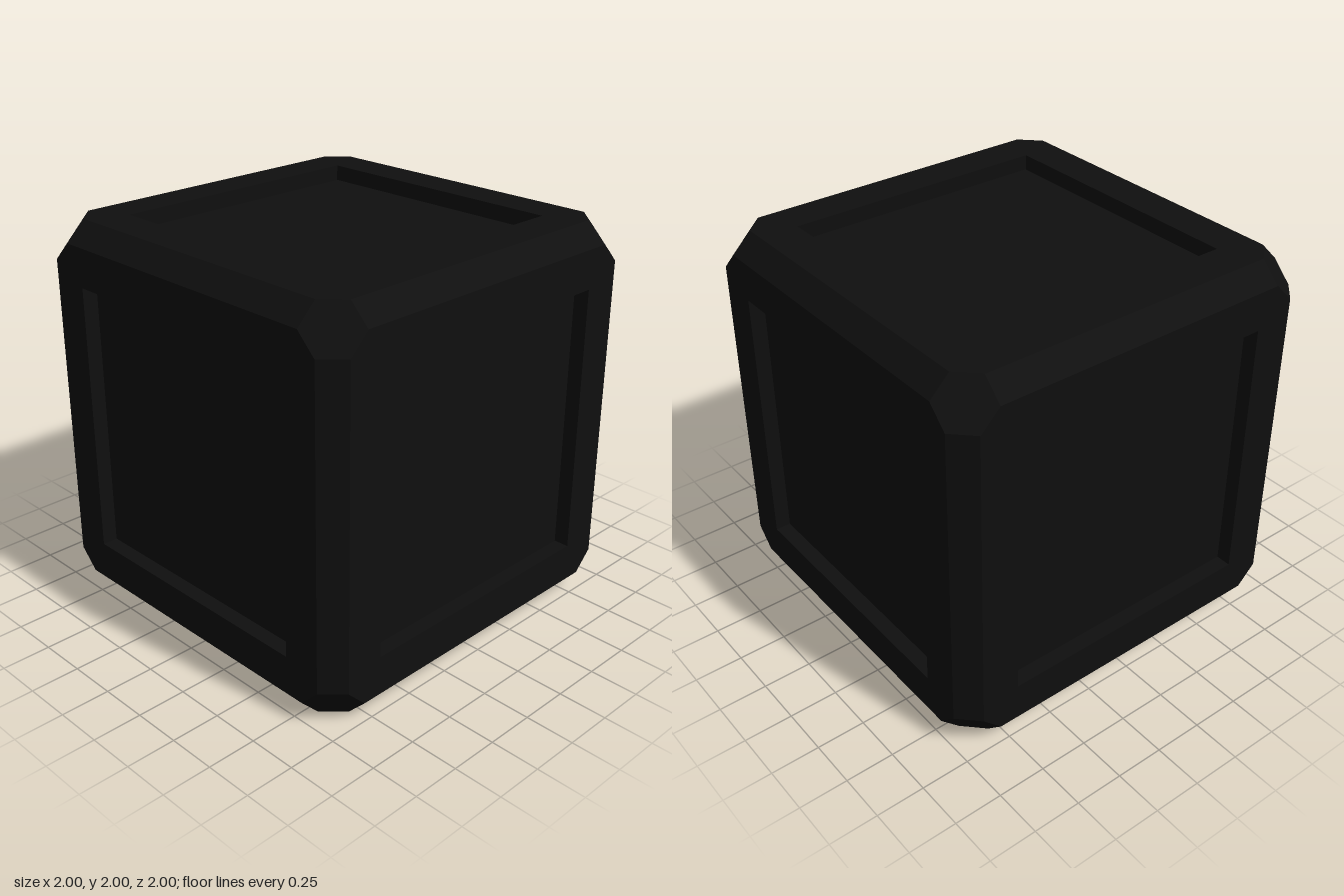
import * as THREE from 'three';

const HALF = 1;        // half the cube's side
const BEVEL = 0.1;     // chamfer along every edge
const PANEL = 0.7;     // half width of the recessed panel
const DEPTH = 0.08;    // depth of the recess
const FLAT = 2 * (HALF - 2 * BEVEL); // length of an edge chamfer

const material = new THREE.MeshStandardMaterial({ color: 0x0f0f0f });

function addMesh(parent, name, geometry) {
  const mesh = new THREE.Mesh(geometry, material);
  mesh.name = name;
  parent.add(mesh);
  return mesh;
}

// One side facing +z: octagonal frame, recess walls and sunken panel
function createSide() {
  const side = new THREE.Group();
  side.name = 'side';

  const a = HALF - BEVEL, b = HALF - 2 * BEVEL;
  const frame = new THREE.Shape([
    [a, -b], [a, b], [b, a], [-b, a], [-a, b], [-a, -b], [-b, -a], [b, -a],
  ].map(([x, y]) => new THREE.Vector2(x, y)));
  frame.holes.push(new THREE.Path([
    [-PANEL, -PANEL], [-PANEL, PANEL], [PANEL, PANEL], [PANEL, -PANEL],
  ].map(([x, y]) => new THREE.Vector2(x, y))));
  addMesh(side, 'frame', new THREE.ShapeGeometry(frame)).position.z = HALF;

  addMesh(side, 'panel', new THREE.PlaneGeometry(2 * PANEL, 2 * PANEL)).position.z = HALF - DEPTH;

  for (let i = 0; i < 4; i++) {
    const wall = new THREE.PlaneGeometry(2 * PANEL, DEPTH);
    wall.rotateX(-Math.PI / 2);
    wall.translate(0, -PANEL, HALF - DEPTH / 2);
    wall.rotateZ(i * Math.PI / 2);
    addMesh(side, 'recessWall', wall);
  }
  return side;
}

export function createModel() {
  const model = new THREE.Group();
  model.name = 'bevelledCube';
  const cube = new THREE.Group();
  cube.name = 'cube';
  cube.position.y = HALF;
  model.add(cube);

  // Six sides
  const q = Math.PI / 2;
  for (const [rx, ry] of [[0, 0], [0, q], [0, 2 * q], [0, -q], [q, 0], [-q, 0]]) {
    const side = createSide();
    side.rotation.set(rx, ry, 0);
    cube.add(side);
  }

  // Twelve edge chamfers, four along each axis
  const width = BEVEL * Math.SQRT2;
  const mid = HALF - BEVEL / 2;
  const place = (name, geometry, position) => {
    const mesh = new THREE.Mesh(geometry, material);
    mesh.name = name;
    mesh.position.copy(position);
    mesh.lookAt(position.clone().multiplyScalar(2));
    cube.add(mesh);
  };
  const acrossGeometry = new THREE.PlaneGeometry(FLAT, width);
  const uprightGeometry = new THREE.PlaneGeometry(width, FLAT);
  for (const s of [-1, 1]) {
    for (const t of [-1, 1]) {
      place('edgeChamfer', acrossGeometry, new THREE.Vector3(0, s * mid, t * mid));
      place('edgeChamfer', uprightGeometry, new THREE.Vector3(s * mid, 0, t * mid));
      place('edgeChamfer', acrossGeometry, new THREE.Vector3(s * mid, t * mid, 0));
    }
  }

  // Eight hexagonal corners
  const hexagon = new THREE.CircleGeometry(width, 6);
  const c = HALF - BEVEL;
  for (const x of [-c, c])
    for (const y of [-c, c])
      for (const z of [-c, c]) place('corner', hexagon, new THREE.Vector3(x, y, z));

  return model;
}
